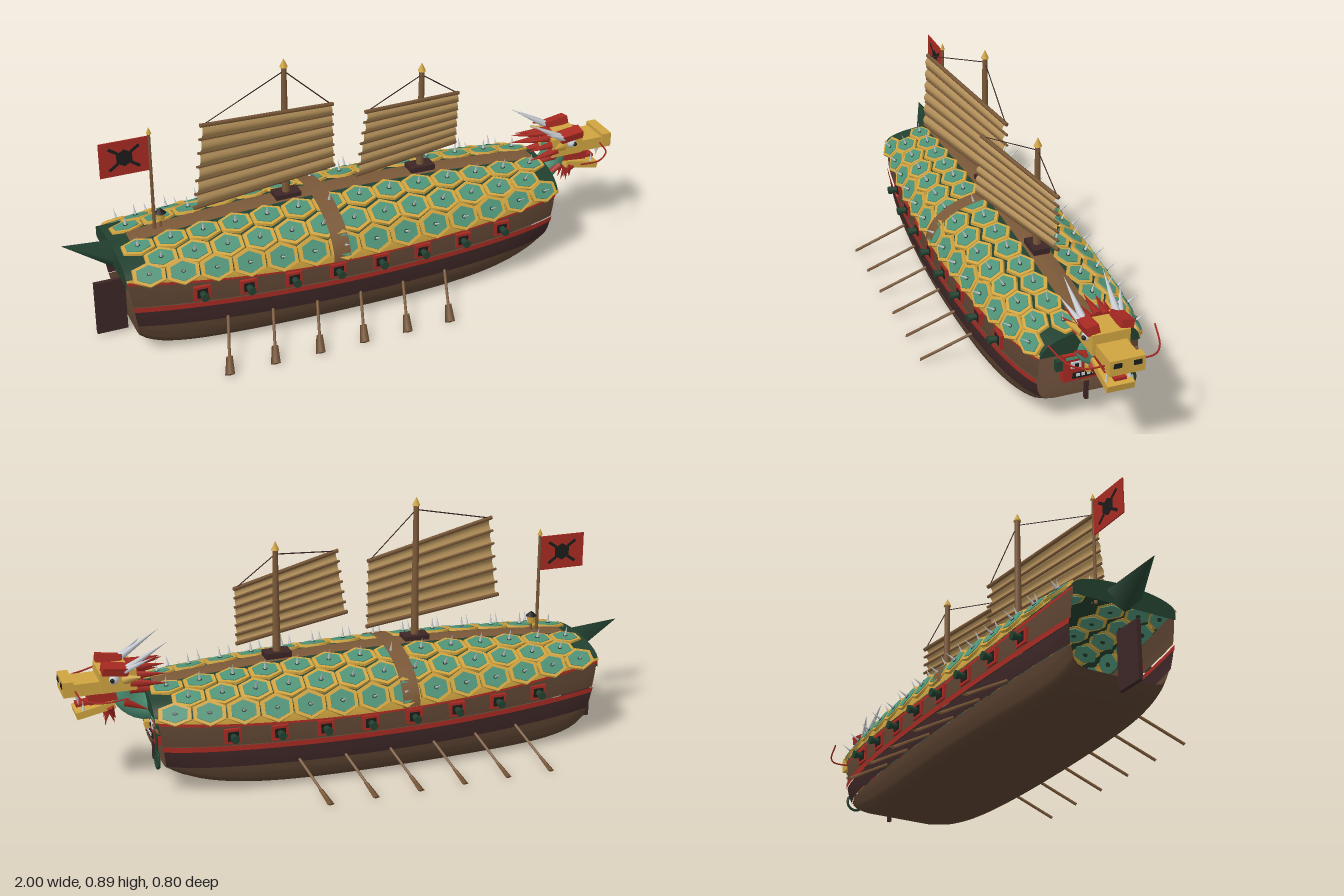
import * as THREE from 'three';

const mat = (name, color) => Object.assign(new THREE.MeshStandardMaterial({ color, side: THREE.DoubleSide }), { name });
const M = {
  hull: mat('hull brown', 0x5c4331), dark: mat('dark wood', 0x3d2626), wood: mat('light wood', 0x7a5838),
  red: mat('red', 0xa82a22), gold: mat('gold', 0xd0a440), jade: mat('jade', 0x4f9478),
  green: mat('dark green', 0x22402f), silver: mat('silver', 0xc8ccd2), sail: mat('sail tan', 0xb3905a), black: mat('black', 0x1a1c1a),
};
const V = (x, y, z) => new THREE.Vector3(x, y, z);
const lerp = THREE.MathUtils.lerp;

function add(parent, name, geo, m, p = [0, 0, 0], r = [0, 0, 0]) {
  const o = new THREE.Mesh(geo, m);
  o.name = name;
  o.position.set(...p);
  o.rotation.set(...r);
  parent.add(o);
  return o;
}
const box = (g, name, m, size, p, r) => add(g, name, new THREE.BoxGeometry(...size), m, p, r);

// Tapered round bar from a to b
function rod(g, name, m, a, b, r0, r1 = r0, sides = 8) {
  const d = b.clone().sub(a);
  const o = add(g, name, new THREE.CylinderGeometry(r1, r0, d.length(), sides), m);
  o.position.copy(a).addScaledVector(d, 0.5);
  o.quaternion.setFromUnitVectors(V(0, 1, 0), d.normalize());
  return o;
}

// Surface from a rule f(u, v) => Vector3
function grid(nu, nv, f) {
  const pos = [], idx = [];
  for (let i = 0; i <= nu; i++) for (let j = 0; j <= nv; j++) {
    pos.push(...f(i / nu, j / nv).toArray());
    if (i < nu && j < nv) {
      const a = i * (nv + 1) + j, b = a + nv + 1;
      idx.push(a, a + 1, b, b, a + 1, b + 1);
    }
  }
  const geo = new THREE.BufferGeometry();
  geo.setAttribute('position', new THREE.Float32BufferAttribute(pos, 3));
  geo.setIndex(idx);
  geo.computeVertexNormals();
  return geo;
}

// Lines of the ship along x
const X0 = -0.84, X1 = 0.72;
const S = x => (x + 0.04) / 0.8;
const beam = x => 0.235 - 0.055 * S(x) ** 2 - (x > 0 ? 0.026 * S(x) ** 6 : 0);
const keel = x => 0.006 + (x < 0 ? 0.055 * S(x) ** 8 : 0.11 * S(x) ** 4);
const sheer = x => 0.246 + (x < 0 ? 0.054 : 0.034) * S(x) ** 2;
const ridge = x => 0.39 - 0.045 * S(x) ** 2;
const redY = x => 0.155 + (sheer(x) - 0.246) * 0.5;
const profile = [[0, 0.62], [0.03, 0.82], [0.1, 0.9], [0.25, 0.965], [0.45, 1], [0.75, 1.01], [1, 0.98]];
function width(h) {
  let i = 1;
  while (i < profile.length - 1 && h > profile[i][0]) i++;
  const [a, b] = [profile[i - 1], profile[i]];
  return lerp(a[1], b[1], (h - a[0]) / (b[0] - a[0]));
}
function hullPoint(x, y, side, out = 0) {
  const h = (y - keel(x)) / (sheer(x) - keel(x));
  return V(x - Math.sign(x) * 0.04 * S(x) ** 8 * (1 - h), y, side * (beam(x) * width(h) + out));
}
function roofPoint(x, u, side, out = 0) {
  const a = u * Math.PI / 2;
  return V(x, sheer(x) + (ridge(x) - sheer(x) + out) * Math.cos(a), side * (beam(x) * 1.01 + out) * Math.sin(a));
}

function buildHull(g) {
  const at = u => lerp(X0, X1, u);
  add(g, 'hullBottom', grid(48, 2, (u, v) => hullPoint(at(u), keel(at(u)), 1).multiply(V(1, 1, 1 - 2 * v))), M.hull);
  for (const s of [1, -1]) {
    const strip = (name, m, lo, hi, n, out, e = 1) => add(g, name, grid(48, n, (u, v) =>
      hullPoint(at(u), lerp(lo(at(u)), hi(at(u)), v ** e), s, out)), m);
    strip('lowerPlanking', M.hull, keel, x => redY(x) - 0.06, 12, 0, 2);
    strip('darkWale', M.dark, x => redY(x) - 0.06, redY, 4, 0.003);
    strip('redWale', M.red, redY, x => redY(x) + 0.018, 1, 0.006);
    strip('upperPlanking', M.hull, x => redY(x) + 0.018, sheer, 4, 0);
    strip('redRail', M.red, x => sheer(x) - 0.014, x => sheer(x) - 0.002, 1, 0.006);

    // Gun ports with cannons
    for (let i = 0; i < 8; i++) {
      const x = -0.6 + i * 0.155, y = redY(x) + 0.052, z = s * (beam(x) + 0.003);
      box(g, 'portFrame', M.red, [0.056, 0.05, 0.012], [x, y, z]);
      box(g, 'portOpening', M.black, [0.036, 0.032, 0.016], [x, y, z]);
      rod(g, 'cannon', M.green, V(x, y, z - s * 0.03), V(x, y, s * (beam(x) + 0.04)), 0.012, 0.01, 10);
      rod(g, 'muzzle', M.green, V(x, y, s * (beam(x) + 0.03)), V(x, y, s * (beam(x) + 0.041)), 0.014, 0.014, 10);
    }
    // Oars
    for (let i = 0; i < 6; i++) {
      const x = -0.575 + i * 0.157, a = V(x + 0.06, 0.115, s * 0.21), b = V(x, 0.006, s * 0.39);
      rod(g, 'oarShaft', M.wood, a, b, 0.005, 0.005, 6);
      rod(g, 'oarBlade', M.wood, a.clone().lerp(b, 0.7), b, 0.011, 0.017, 4).scale.z = 0.3;
    }
  }
  box(g, 'rudder', M.dark, [0.105, 0.195, 0.014], [-0.853, 0.108, 0]);
  box(g, 'stemPost', M.dark, [0.015, 0.1, 0.012], [0.7, 0.125, 0]);
}

function buildRoof(g) {
  const at = u => lerp(X0, X1 + 0.01, u);
  const arch = (x, v, out) => roofPoint(x, Math.abs(2 * v - 1), v < 0.5 ? -1 : 1, out);
  add(g, 'roofShell', grid(48, 32, (u, v) => arch(at(u), v, 0)), M.green);
  add(g, 'roofBand', grid(1, 32, (u, v) => arch(-0.152 + u * 0.06, v, 0.013)), M.wood);
  for (const x of [X0, X1 + 0.005]) add(g, 'roofEnd', grid(24, 1, (u, v) => {
    const p = arch(x, u, 0);
    p.y = lerp(p.y, 0.272, v);
    return p;
  }), M.green);
  add(g, 'ridgeWalk', grid(40, 4, (u, v) => {
    const x = lerp(-0.78, 0.7, u);
    return V(x, ridge(x) + 0.006 - 0.004 * (2 * v - 1) ** 2, (2 * v - 1) * 0.037);
  }), M.wood);

  // Hexagonal shell plates with spikes
  const rim = new THREE.CylinderGeometry(0.058, 0.06, 0.009, 6);
  const plate = new THREE.CylinderGeometry(0.044, 0.047, 0.014, 6);
  const boss = new THREE.CylinderGeometry(0.008, 0.01, 0.018, 6);
  const spike = new THREE.ConeGeometry(0.006, 0.045, 6).translate(0, 0.025, 0);
  for (const s of [1, -1]) {
    add(g, 'goldEave', grid(48, 2, (u, v) => roofPoint(at(u), 0.9 + 0.12 * v, s, 0.005)), M.gold);
    [0.235, 0.5, 0.795].forEach((u, row) => {
      for (let i = 0; i < 14 - (row % 2); i++) {
        const x = -0.765 + (i + (row % 2) / 2) * 0.11;
        const p = roofPoint(x, u, s, 0.002);
        const ax = roofPoint(x + 0.01, u, s).sub(roofPoint(x - 0.01, u, s)).normalize();
        const down = roofPoint(x, u + 0.01, s).sub(roofPoint(x, u - 0.01, s)).multiplyScalar(s).normalize();
        const up = down.clone().cross(ax).normalize();
        const tile = new THREE.Group();
        tile.name = 'shellPlate';
        tile.quaternion.setFromRotationMatrix(new THREE.Matrix4().makeBasis(ax, up, ax.clone().cross(up)));
        tile.position.copy(p);
        tile.scale.set(1.04, 1, 0.88 * beam(x) / 0.235);
        add(tile, 'plateRim', rim, M.gold);
        add(tile, 'platePanel', plate, M.jade);
        add(tile, 'spikeBase', boss, M.green);
        add(tile, 'spike', spike, M.silver);
        g.add(tile);
      }
    });
  }
  rod(g, 'sternPoint', M.green, V(-0.82, 0.305, 0), V(-1, 0.37, 0), 0.07, 0, 4).scale.x = 0.75;
}

// Battened sail from its four corners
function buildSail(g, tl, tr, br, bl) {
  const n = 6;
  const at = (u, v) => tl.clone().lerp(tr, u).lerp(bl.clone().lerp(br, u), v);
  add(g, 'sailCloth', grid(8, n * 6, (u, v) => at(u, v).add(V(0, 0, 0.012 * Math.abs(Math.sin(v * n * Math.PI))))), M.sail);
  for (let i = 0; i <= n; i++) {
    const r = i === 0 || i === n ? 0.007 : 0.0045;
    rod(g, 'batten', M.wood, at(-0.015, i / n), at(1.015, i / n), r, r, 6);
  }
}

function buildRig(g) {
  const masts = [
    [-0.225, 0.87, [V(-0.54, 0.762, 0.1), V(-0.055, 0.692, -0.012), V(-0.05, 0.46, -0.015), V(-0.575, 0.475, 0.105)]],
    [0.27, 0.765, [V(0.025, 0.7, 0.1), V(0.412, 0.645, -0.012), V(0.408, 0.455, -0.015), V(-0.01, 0.475, 0.105)]],
  ];
  for (const [x, top, c] of masts) {
    rod(g, 'mast', M.wood, V(x, 0.36, 0), V(x, top, 0), 0.014, 0.009, 10);
    rod(g, 'mastTip', M.gold, V(x, top - 0.005, 0), V(x, top + 0.025, 0), 0.014, 0, 8);
    box(g, 'mastCollar', M.dark, [0.09, 0.02, 0.055], [x, 0.397, 0]);
    buildSail(g, ...c);
    for (const end of [c[0], c[1]]) rod(g, 'rigging', M.dark, V(x, top - 0.02, 0), end, 0.002, 0.002, 4);
  }
  // Flag with a turtle emblem, and stern lantern
  rod(g, 'flagPole', M.wood, V(-0.687, 0.35, 0), V(-0.687, 0.72, 0), 0.006, 0.005, 6);
  rod(g, 'flagPoleTip', M.gold, V(-0.687, 0.715, 0), V(-0.687, 0.738, 0), 0.009, 0, 6);
  box(g, 'flag', M.red, [0.165, 0.122, 0.004], [-0.772, 0.647, 0]);
  add(g, 'turtleShell', new THREE.CylinderGeometry(0.03, 0.03, 0.008, 6), M.black, [-0.772, 0.647, 0], [Math.PI / 2, 0, 0]);
  for (const a of [1, -1]) for (const b of [1, -1])
    box(g, 'turtleLeg', M.black, [0.035, 0.01, 0.007], [-0.772 + a * 0.036, 0.647 + b * 0.028, 0], [0, 0, a * b * 0.6]);
  rod(g, 'lanternPost', M.wood, V(-0.665, 0.36, 0), V(-0.665, 0.4, 0), 0.004, 0.004, 6);
  rod(g, 'lantern', M.gold, V(-0.665, 0.395, 0), V(-0.665, 0.42, 0), 0.013, 0.016, 8);
  rod(g, 'lanternCap', M.black, V(-0.665, 0.42, 0), V(-0.665, 0.437, 0), 0.02, 0.002, 8);
}

function buildDragon(g) {
  const neck = new THREE.CatmullRomCurve3([V(0.68, 0.27, 0), V(0.74, 0.275, 0), V(0.79, 0.32, 0), V(0.8, 0.39, 0)]);
  add(g, 'neck', new THREE.TubeGeometry(neck, 12, 0.046, 10), M.jade);
  box(g, 'skull', M.gold, [0.12, 0.07, 0.124], [0.82, 0.39, 0]);
  box(g, 'snout', M.gold, [0.12, 0.042, 0.1], [0.92, 0.372, 0]);
  box(g, 'nose', M.gold, [0.035, 0.052, 0.115], [0.982, 0.38, 0]);
  box(g, 'mouth', M.red, [0.13, 0.04, 0.07], [0.85, 0.335, 0], [0, 0, -0.1]);
  box(g, 'lowerJaw', M.gold, [0.13, 0.024, 0.09], [0.895, 0.292, 0], [0, 0, -0.2]);
  box(g, 'tongue', M.red, [0.11, 0.01, 0.04], [0.9, 0.312, 0], [0, 0, -0.1]);
  for (const s of [1, -1]) {
    box(g, 'nostril', M.black, [0.006, 0.016, 0.026], [0.999, 0.388, s * 0.032]);
    box(g, 'brow', M.red, [0.085, 0.028, 0.042], [0.83, 0.432, s * 0.055], [s * 0.2, 0, 0.15]);
    add(g, 'eye', new THREE.SphereGeometry(0.017, 12, 8), M.silver, [0.835, 0.4, s * 0.06]);
    add(g, 'pupil', new THREE.SphereGeometry(0.008, 8, 6), M.black, [0.842, 0.4, s * 0.073]);
    rod(g, 'horn', M.silver, V(0.79, 0.43, s * 0.055), V(0.655, 0.51, s * 0.065), 0.013, 0, 7);
    rod(g, 'smallHorn', M.silver, V(0.8, 0.425, s * 0.065), V(0.71, 0.475, s * 0.1), 0.011, 0, 7);
    rod(g, 'ear', M.gold, V(0.8, 0.395, s * 0.06), V(0.755, 0.41, s * 0.095), 0.018, 0.004, 6);
    rod(g, 'upperFang', M.silver, V(0.955, 0.355, s * 0.04), V(0.95, 0.315, s * 0.04), 0.008, 0, 6);
    rod(g, 'lowerFang', M.silver, V(0.935, 0.29, s * 0.038), V(0.935, 0.33, s * 0.036), 0.007, 0, 6);
    const w = new THREE.CatmullRomCurve3([V(0.96, 0.37, s * 0.05), V(0.95, 0.365, s * 0.11), V(0.9, 0.36, s * 0.15), V(0.81, 0.375, s * 0.175)]);
    add(g, 'whisker', new THREE.TubeGeometry(w, 12, 0.003, 5), M.red);
  }
  // Mane round the back of the head and beard under the jaw
  for (let i = 0; i < 9; i++) {
    const a = (i / 8 - 0.5) * 4.4, y = Math.cos(a), z = Math.sin(a);
    rod(g, 'maneTuft', M.red, V(0.78, 0.38 + y * 0.045, z * 0.05), V(0.66, 0.375 + y * 0.06, z * 0.075), 0.017, 0, 6);
  }
  for (let i = 0; i < 7; i++) {
    const t = i / 3 - 1;
    rod(g, 'beardTuft', M.red, V(0.85, 0.3, t * 0.045), V(0.83 + 0.03 * (i % 2), 0.215 + 0.035 * Math.abs(t), t * 0.03), 0.014, 0, 6);
    rod(g, 'throatTuft', M.red, V(0.8, 0.31, t * 0.045), V(0.72, 0.245 + 0.03 * Math.abs(t), t * 0.055), 0.014, 0, 6);
  }
}

function buildBow(g) {
  // Carved guardian face
  box(g, 'facePlate', M.red, [0.025, 0.095, 0.168], [0.7, 0.206, 0]);
  box(g, 'faceChin', M.wood, [0.02, 0.012, 0.035], [0.7, 0.153, 0]);
  box(g, 'faceCrown', M.jade, [0.028, 0.01, 0.15], [0.7, 0.243, 0]);
  box(g, 'faceNose', M.gold, [0.03, 0.024, 0.024], [0.715, 0.204, 0]);
  box(g, 'faceMouth', M.black, [0.008, 0.02, 0.106], [0.712, 0.178, 0]);
  for (let i = 0; i < 5; i++) box(g, 'faceTooth', M.silver, [0.008, 0.01, 0.011], [0.715, 0.181, (i - 2) * 0.018]);
  for (const s of [1, -1]) {
    box(g, 'faceEye', M.silver, [0.008, 0.022, 0.034], [0.713, 0.218, s * 0.042]);
    box(g, 'facePupil', M.black, [0.008, 0.012, 0.012], [0.716, 0.218, s * 0.04]);
    box(g, 'faceEar', M.green, [0.02, 0.036, 0.022], [0.7, 0.219, s * 0.095]);
  }
  // Anchor
  rod(g, 'anchorShank', M.green, V(0.72, 0.12, -0.13), V(0.72, 0.245, -0.13), 0.005);
  add(g, 'anchorRing', new THREE.TorusGeometry(0.029, 0.005, 6, 16), M.green, [0.72, 0.13, -0.13], [0, Math.PI / 2, 0]);
  rod(g, 'anchorStock', M.wood, V(0.72, 0.237, -0.095), V(0.72, 0.237, -0.165), 0.005);
}

export function createModel() {
  const model = new THREE.Group();
  model.name = 'turtleShip';
  const parts = { hull: buildHull, shellRoof: buildRoof, rigging: buildRig, dragonHead: buildDragon, bowFittings: buildBow };
  for (const [name, build] of Object.entries(parts)) {
    const g = new THREE.Group();
    g.name = name;
    build(g);
    model.add(g);
  }
  return model;
}
